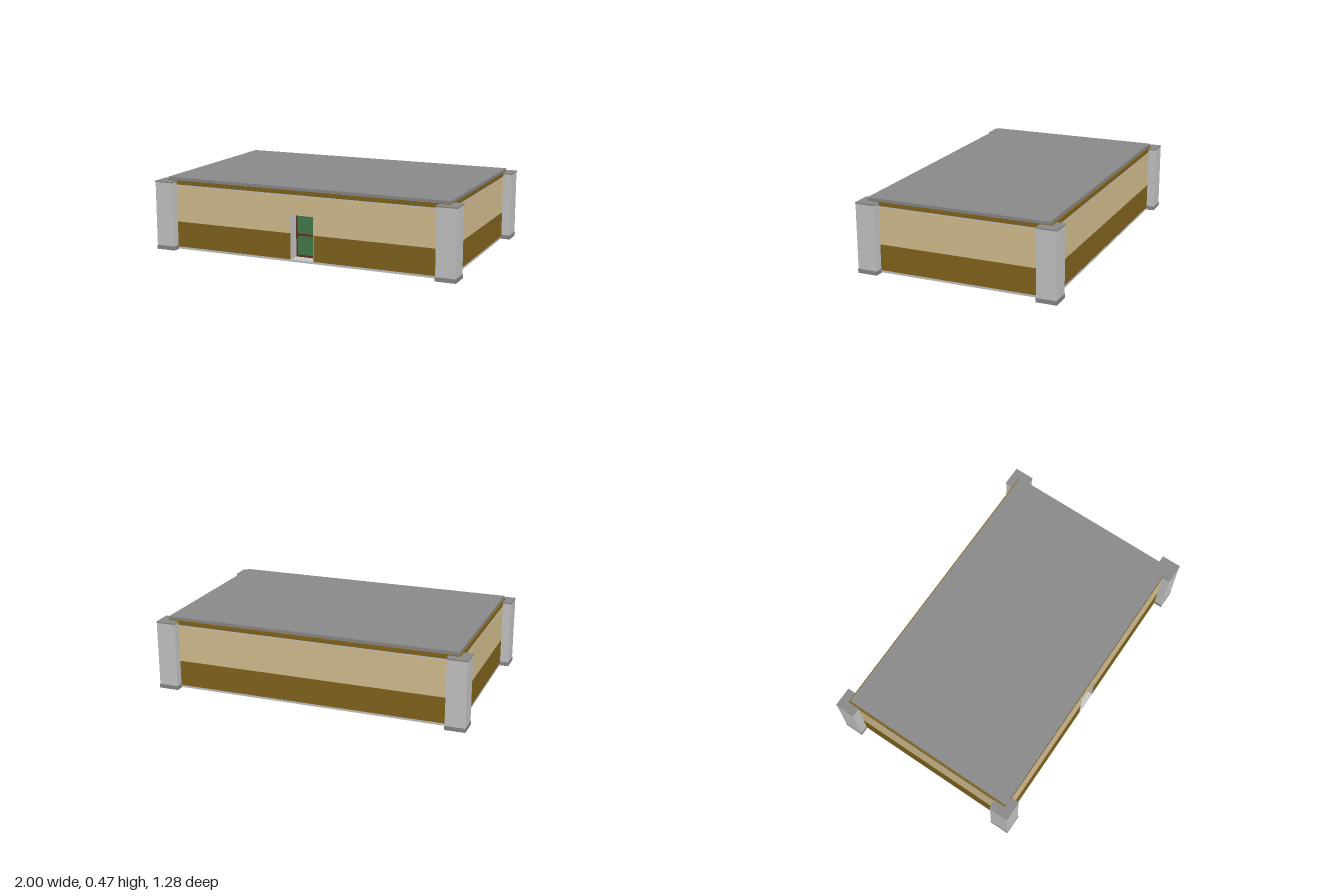
import * as THREE from 'three';

const mat = (color) => new THREE.MeshStandardMaterial({ color });
const grey = mat(0xcccccc);
const darkGrey = mat(0x8c8c8c);
const tan = mat(0xdcc595);
const brown = mat(0x85671e);
const wood = mat(0x68341a);
const green = mat(0x458050);

// Box given by its lower and upper limits on each axis
function box(parent, name, material, [x0, x1], [y0, y1], [z0, z1]) {
  const mesh = new THREE.Mesh(new THREE.BoxGeometry(x1 - x0, y1 - y0, z1 - z0), material);
  mesh.position.set((x0 + x1) / 2, (y0 + y1) / 2, (z0 + z1) / 2);
  mesh.name = name;
  parent.add(mesh);
  return mesh;
}

// Half extents of the walls, their thickness, and the doorway
const W = 0.942, D = 0.587, T = 0.08;
const DOOR = { x0: -0.075, x1: 0.08, y0: 0.016, y1: 0.296 };

function createWalls() {
  const walls = new THREE.Group();
  walls.name = 'walls';
  const bands = [
    ['lowerWall', brown, 0.016, 0.18],
    ['upperWall', tan, 0.18, 0.412],
  ];
  for (const [name, material, y0, y1] of bands) {
    box(walls, name + 'Back', material, [-W, W], [y0, y1], [-D, -D + T]);
    box(walls, name + 'Left', material, [W - T, W], [y0, y1], [-D + T, D - T]);
    box(walls, name + 'Right', material, [-W, -W + T], [y0, y1], [-D + T, D - T]);
    // Front wall on both sides of the doorway
    box(walls, name + 'FrontLeft', material, [DOOR.x1, W], [y0, y1], [D - T, D]);
    box(walls, name + 'FrontRight', material, [-W, DOOR.x0], [y0, y1], [D - T, D]);
  }
  box(walls, 'lintel', tan, [DOOR.x0, DOOR.x1], [DOOR.y1, 0.412], [D - T, D]);
  return walls;
}

// Door panel with one pair of cut corners, towards the middle rail
function panelShape(x0, x1, outer, inner) {
  const c = 0.01;
  const s = Math.sign(outer - inner);
  return new THREE.Shape([
    new THREE.Vector2(x0, outer),
    new THREE.Vector2(x0, inner + s * c),
    new THREE.Vector2(x0 + c, inner),
    new THREE.Vector2(x1 - c, inner),
    new THREE.Vector2(x1, inner + s * c),
    new THREE.Vector2(x1, outer),
  ]);
}

function createDoor() {
  const door = new THREE.Group();
  door.name = 'door';
  const z = D - T;
  // Pale lining of the doorway
  const depth = [z, D - 0.001], t = 0.002;
  box(door, 'jambRight', grey, [DOOR.x0, DOOR.x0 + t], [DOOR.y0, DOOR.y1], depth);
  box(door, 'jambLeft', grey, [DOOR.x1 - t, DOOR.x1], [DOOR.y0, DOOR.y1], depth);
  box(door, 'jambTop', grey, [DOOR.x0, DOOR.x1], [DOOR.y1 - t, DOOR.y1], depth);

  // Wooden leaf with two raised panels
  box(door, 'doorLeaf', wood, [DOOR.x0, DOOR.x1], [DOOR.y0, DOOR.y1], [z - 0.012, z + 0.002]);
  for (const [name, outer, inner] of [['upperPanel', 0.284, 0.164], ['lowerPanel', 0.03, 0.15]]) {
    const geometry = new THREE.ExtrudeGeometry(panelShape(-0.062, 0.067, outer, inner), {
      depth: 0.004, bevelEnabled: false,
    });
    const panel = new THREE.Mesh(geometry, green);
    panel.position.z = z;
    panel.name = name;
    door.add(panel);
  }

  // Knob
  const knob = new THREE.Mesh(new THREE.SphereGeometry(0.009, 16, 12), grey);
  knob.position.set(0.067, 0.157, z + 0.012);
  knob.name = 'doorKnob';
  door.add(knob);
  return door;
}

// Corner pillar with a dark base and cap
function createPillar(sx, sz) {
  const pillar = new THREE.Group();
  pillar.name = 'pillar';
  box(pillar, 'pillarBase', darkGrey, [-0.064, 0.064], [0, 0.026], [-0.064, 0.064]);
  box(pillar, 'pillarShaft', grey, [-0.062, 0.062], [0.026, 0.436], [-0.062, 0.062]);
  box(pillar, 'pillarCap', darkGrey, [-0.064, 0.064], [0.436, 0.444], [-0.064, 0.064]);
  pillar.position.set(sx * 0.936, 0, sz * 0.576);
  return pillar;
}

export function createModel() {
  const model = new THREE.Group();
  model.name = 'building';

  box(model, 'floorSlab', grey, [-W, W], [0.002, 0.016], [-D, D]);
  model.add(createWalls(), createDoor());

  // Ceiling slab, eaves band and flat roof
  box(model, 'ceilingSlab', grey, [-W, W], [0.412, 0.42], [-D, D]);
  box(model, 'eavesBand', brown, [-W, W], [0.42, 0.447], [-D, D]);
  box(model, 'roof', darkGrey, [-0.933, 0.944], [0.447, 0.466], [-0.576, 0.587]);

  for (const sx of [-1, 1]) {
    for (const sz of [-1, 1]) model.add(createPillar(sx, sz));
  }
  return model;
}
